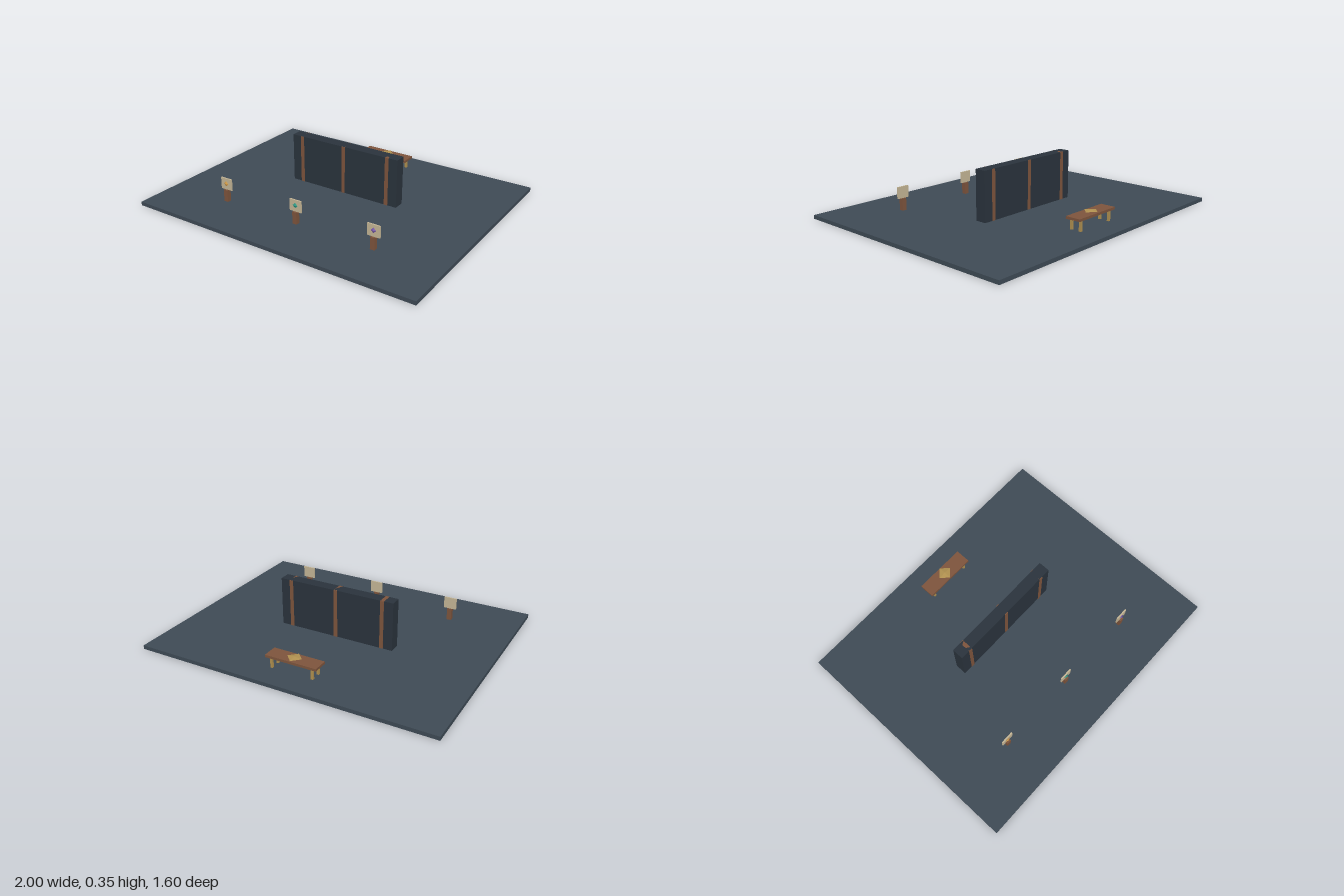
import * as THREE from 'three';

const mat = (color) => new THREE.MeshStandardMaterial({ color, flatShading: true });

export function createModel() {
  const model = new THREE.Group();
  const slate = mat(0x3e4a55);
  const dark = mat(0x2a333c);
  const wood = mat(0x7d543c);
  const brass = mat(0xb0904f);
  const paper = mat(0xc4b595);

  // Box given by its centre in x and z, and its bottom and top heights
  const box = (parent, name, material, x, z, w, d, y0, y1) => {
    const mesh = new THREE.Mesh(new THREE.BoxGeometry(w, y1 - y0, d), material);
    mesh.position.set(x, (y0 + y1) / 2, z);
    mesh.name = name;
    parent.add(mesh);
    return mesh;
  };

  // Flattened eight-sided gem with half sizes rx, ry, rz
  const gem = (parent, name, material, x, y, z, rx, ry, rz) => {
    const geometry = new THREE.OctahedronGeometry(1).scale(rx, ry, rz);
    const mesh = new THREE.Mesh(geometry, material);
    mesh.position.set(x, y, z);
    mesh.name = name;
    parent.add(mesh);
  };

  // Floor slab
  box(model, 'floor', slate, 0, 0, 2, 1.6, 0, 0.025);

  // Partition wall with upright wooden straps
  const wall = new THREE.Group();
  wall.name = 'partitionWall';
  box(wall, 'wallPanel', dark, 0, -0.075, 0.8, 0.075, 0.025, 0.35);
  for (const x of [-0.325, 0, 0.325]) {
    box(wall, 'wallStrap', wood, x, -0.075, 0.025, 0.081, 0.025, 0.35);
  }
  model.add(wall);

  // Sign posts with a coloured gem on each board
  [[-0.55, 0xd09a48], [0, 0x2f9c88], [0.55, 0x7a5cb0]].forEach(([x, color]) => {
    const sign = new THREE.Group();
    sign.name = 'signPost';
    box(sign, 'post', wood, x, 0.477, 0.03, 0.03, 0.025, 0.105);
    box(sign, 'signBoard', paper, x, 0.475, 0.085, 0.009, 0.105, 0.182);
    gem(sign, 'signGem', mat(color), x, 0.146, 0.481, 0.018, 0.018, 0.008);
    model.add(sign);
  });

  // Bench with four legs and a flat brass ornament
  const bench = new THREE.Group();
  bench.name = 'bench';
  box(bench, 'benchTop', wood, 0, -0.602, 0.35, 0.102, 0.094, 0.11);
  for (const x of [-0.14, 0.14]) {
    for (const z of [-0.634, -0.57]) {
      box(bench, 'benchLeg', brass, x, z, 0.015, 0.015, 0.025, 0.094);
    }
  }
  gem(bench, 'benchOrnament', brass, 0, 0.115, -0.602, 0.05, 0.007, 0.05);
  model.add(bench);

  return model;
}
